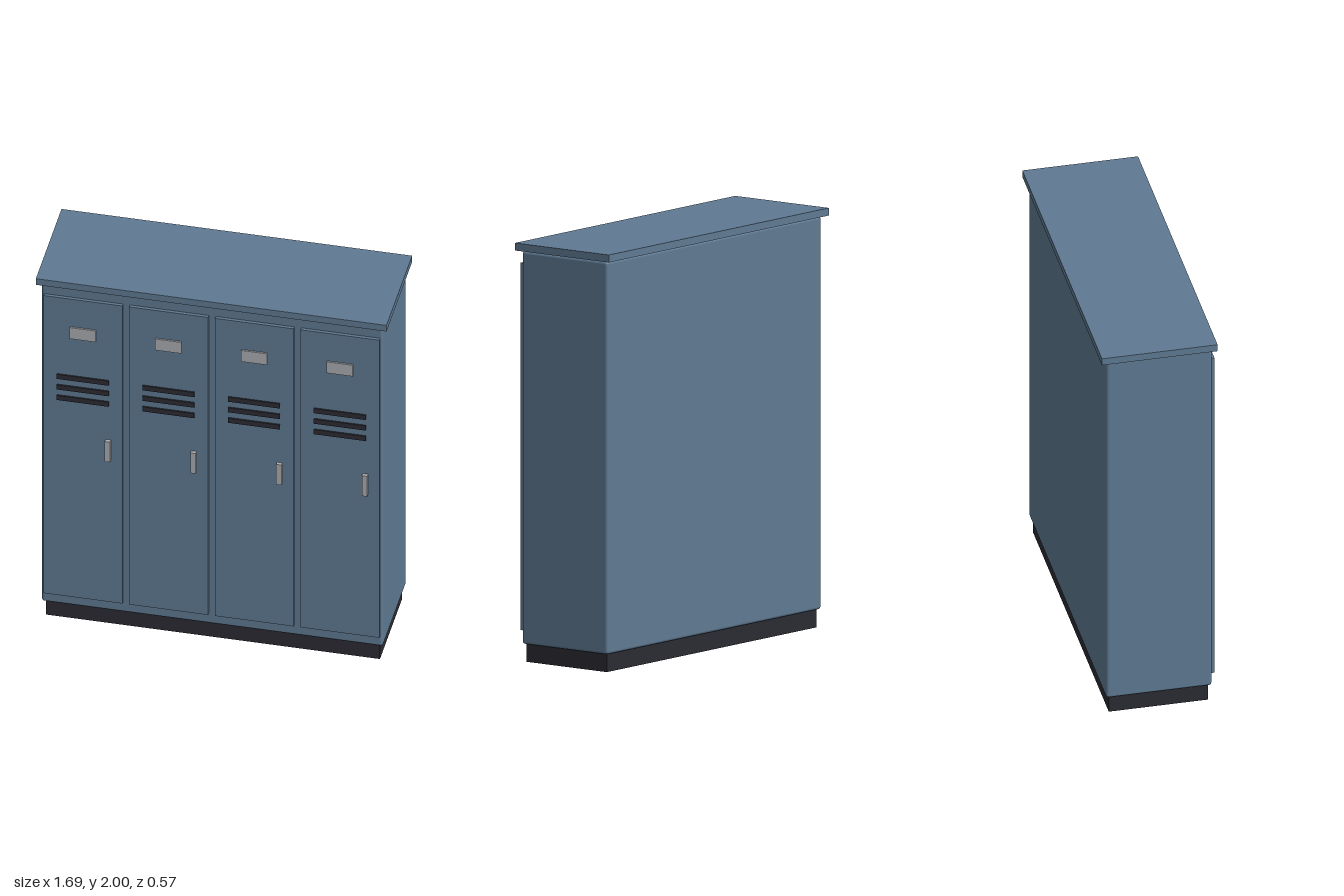
import * as THREE from 'three';
import { RoundedBoxGeometry } from 'three/addons/geometries/RoundedBoxGeometry.js';

export function createModel() {
  const material = (name, color) => {
    const m = new THREE.MeshStandardMaterial({ color });
    m.name = name;
    return m;
  };
  const paint = material('blue paint', 0x5f7a93);
  const dark = material('dark plastic', 0x2b2b33);
  const metal = material('light metal', 0xaaacb0);

  const add = (parent, name, geometry, mat, x, y, z) => {
    const mesh = new THREE.Mesh(geometry, mat);
    mesh.name = name;
    mesh.position.set(x, y, z);
    parent.add(mesh);
  };
  // Box given by its centre x, and its y and z ranges
  const box = (parent, name, mat, x, width, y0, y1, z0, z1) =>
    add(parent, name, new THREE.BoxGeometry(width, y1 - y0, z1 - z0), mat,
      x, (y0 + y1) / 2, (z0 + z1) / 2);

  const model = new THREE.Group();
  model.name = 'lockers';

  // Cabinet: plinth, softly rounded body and overhanging top
  box(model, 'plinth', dark, 0, 1.61, 0, 0.1, -0.243, 0.235);
  add(model, 'body', new RoundedBoxGeometry(1.645, 1.875, 0.51, 2, 0.014), paint, 0, 1.0235, -0.004);
  box(model, 'topPanel', paint, 0, 1.69, 1.964, 2, -0.285, 0.273);

  // Four identical doors
  const pitch = 0.413;
  for (let i = 0; i < 4; i++) {
    const door = new THREE.Group();
    door.name = 'door';
    door.position.x = (i - 1.5) * pitch;
    box(door, 'doorPanel', paint, 0, 0.38, 0.149, 1.902, 0.245, 0.267);
    box(door, 'labelPlate', metal, 0, 0.126, 1.674, 1.74, 0.266, 0.275);
    for (let j = 0; j < 3; j++) {
      const y = 1.316 + j * 0.062;
      box(door, 'vent', dark, 0, 0.25, y - 0.0135, y + 0.0135, 0.266, 0.274);
    }
    box(door, 'handle', metal, 0.122, 0.026, 0.985, 1.104, 0.266, 0.285);
    model.add(door);
  }
  return model;
}
